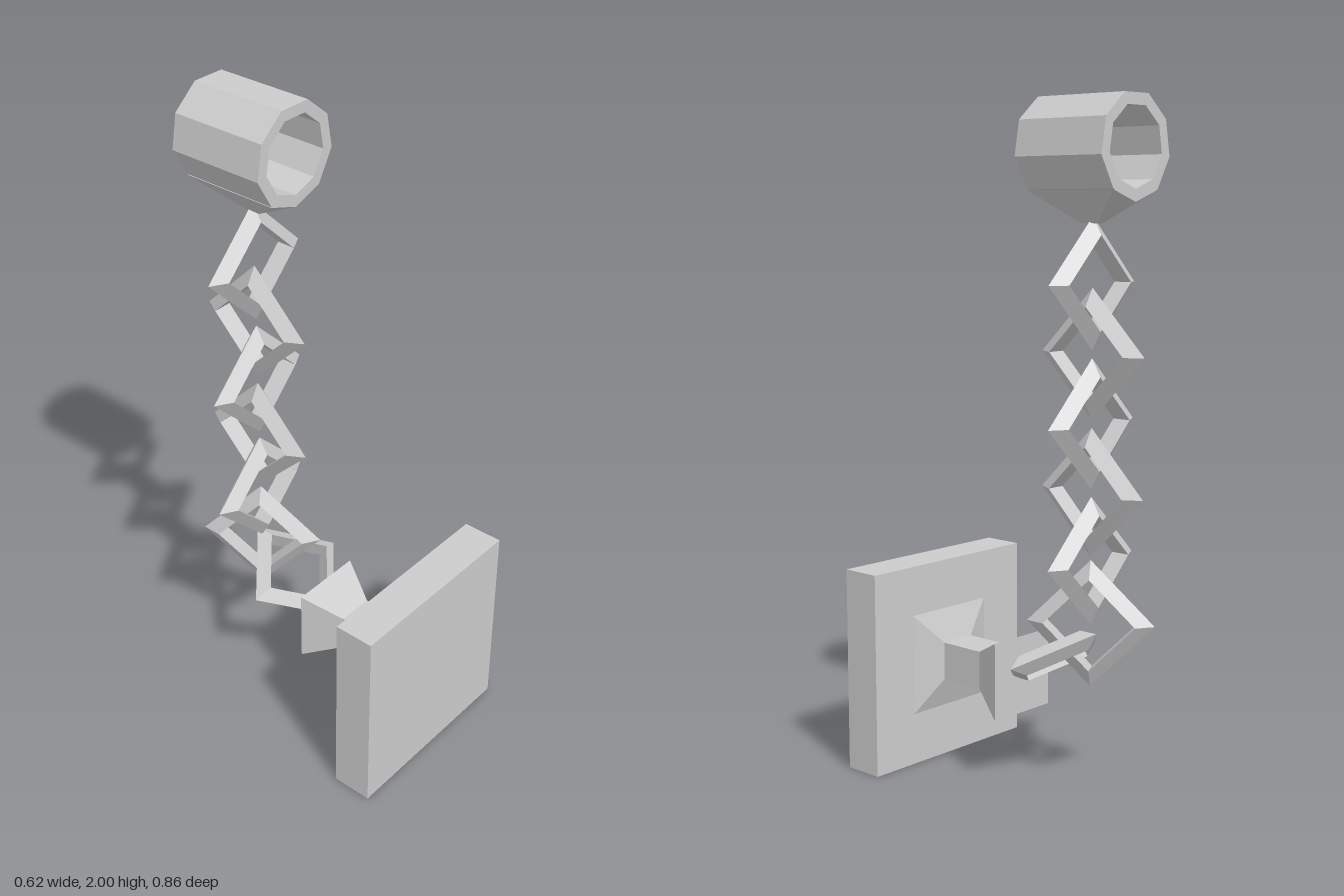
import * as THREE from 'three';
import { ConvexGeometry } from 'three/addons/geometries/ConvexGeometry.js';

const material = new THREE.MeshStandardMaterial({ color: 0xcccccc, flatShading: true });
const CHAIN_X = -0.03, CHAIN_Z = -0.24;

function add(parent, name, geometry, position = [0, 0, 0], rotation = [0, 0, 0]) {
  const mesh = new THREE.Mesh(geometry, material);
  mesh.name = name;
  mesh.position.set(...position);
  mesh.rotation.set(...rotation);
  parent.add(mesh);
  return mesh;
}

// nine-sided outline with a flat top and a vertex at the bottom
function nonagon(radius) {
  return Array.from({ length: 9 }, (_, i) => {
    const a = -Math.PI / 2 + (i * Math.PI * 2) / 9;
    return new THREE.Vector2(Math.cos(a) * radius, Math.sin(a) * radius);
  });
}

export function createModel() {
  const model = new THREE.Group();
  model.name = 'wallShackle';

  // wall plate and square flared anchor
  add(model, 'wallPlate', new THREE.BoxGeometry(0.62, 0.62, 0.125), [0, 0.31, 0.3675]);
  const steps = [[0, 0], [0.118, 0], [0.058, 0.12], [0.058, 0.27], [0.16, 0.307]];
  const profile = steps.map(([half, z]) => new THREE.Vector2(half * Math.SQRT2, z));
  const anchor = new THREE.LatheGeometry(profile, 4, Math.PI / 4);
  anchor.rotateX(Math.PI / 2);
  add(model, 'wallAnchor', anchor, [0, 0.313, 0]);

  // chain of square links with triangular section
  const chain = new THREE.Group();
  chain.name = 'chain';
  model.add(chain);
  const link = new THREE.TorusGeometry(0.152, 0.035, 3, 4);
  for (let i = 0; i < 5; i++) {
    add(chain, 'chainLink', link, [CHAIN_X, 1.484 - i * 0.198, CHAIN_Z], [0, (i % 2) * Math.PI / 2, 0]);
  }
  add(chain, 'twistedLink', link, [CHAIN_X, 0.507, CHAIN_Z], [0, -Math.PI / 3, 0]);
  add(chain, 'anchorLink', link, [0, 0.394, -0.127], [-1.03, 0, 0]);

  // cuff
  const cuff = new THREE.Group();
  cuff.name = 'cuff';
  cuff.position.set(CHAIN_X, 1.859, -0.235);
  model.add(cuff);
  const ring = new THREE.Shape(nonagon(0.15));
  ring.holes.push(new THREE.Path(nonagon(0.115)));
  const ringGeometry = new THREE.ExtrudeGeometry(ring, { depth: 0.31, bevelEnabled: false });
  add(cuff, 'cuffRing', ringGeometry, [0, 0, -0.155]);

  // tapered mount joining the cuff to the first link
  const corners = [];
  for (const s of [-1, 1]) {
    corners.push(new THREE.Vector3(0, -0.15, s * 0.155));
    for (const x of [-1, 1]) {
      corners.push(new THREE.Vector3(x * 0.096, -0.117, s * 0.155));
      corners.push(new THREE.Vector3(x * 0.012, -0.208, s * 0.03));
    }
  }
  add(cuff, 'cuffMount', new ConvexGeometry(corners));

  return model;
}
